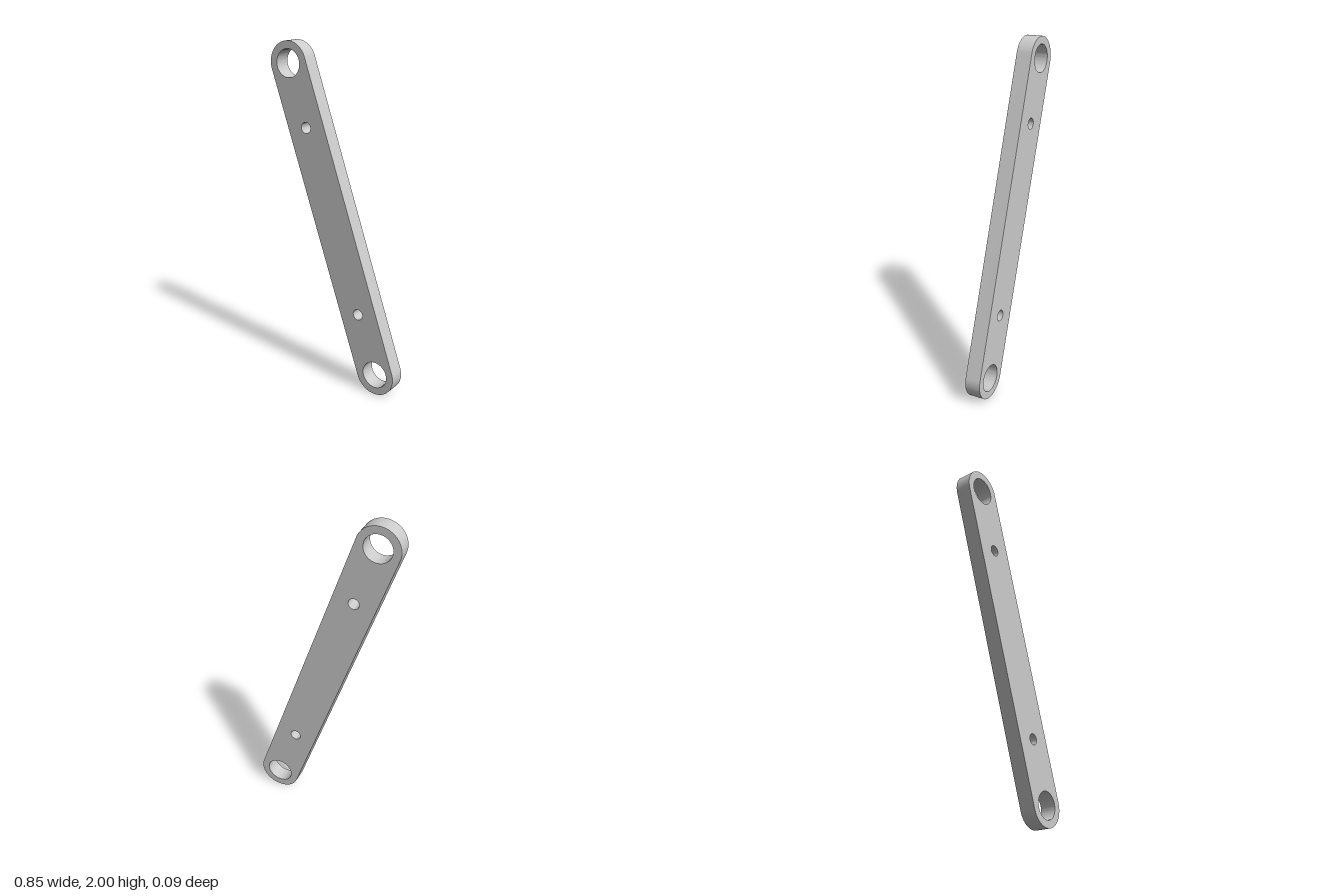
import * as THREE from 'three';
import { toCreasedNormals } from 'three/addons/utils/BufferGeometryUtils.js';

export function createModel() {
  const endRadius = 0.124, thickness = 0.094;
  const endX = 0.303, endY = 1 - endRadius; // offset of an end centre from the middle
  const half = Math.hypot(endX, endY);

  // Upright bar outline with fully rounded ends
  const outline = new THREE.Shape();
  outline.absarc(0, half, endRadius, 0, Math.PI, false);
  outline.absarc(0, -half, endRadius, Math.PI, 2 * Math.PI, false);
  outline.closePath();

  // Large pivot holes at the ends, small bolt holes further in
  for (const [distance, radius] of [[half, 0.08], [0.556, 0.032]]) {
    for (const side of [-1, 1]) {
      const hole = new THREE.Path();
      hole.absarc(0, side * distance, radius, 0, 2 * Math.PI, true);
      outline.holes.push(hole);
    }
  }

  const extruded = new THREE.ExtrudeGeometry(outline, {
    depth: thickness, bevelEnabled: false, curveSegments: 32,
  });
  extruded.translate(0, 0, -thickness / 2);

  // Lean the bar so its top end points to -x
  const bar = new THREE.Mesh(
    toCreasedNormals(extruded, Math.PI / 6),
    new THREE.MeshStandardMaterial({ color: 0xcccccc }),
  );
  bar.name = 'linkBar';
  bar.rotation.z = Math.atan2(endX, endY);
  bar.position.y = 1;

  const model = new THREE.Group();
  model.name = 'linkArm';
  model.add(bar);
  return model;
}
